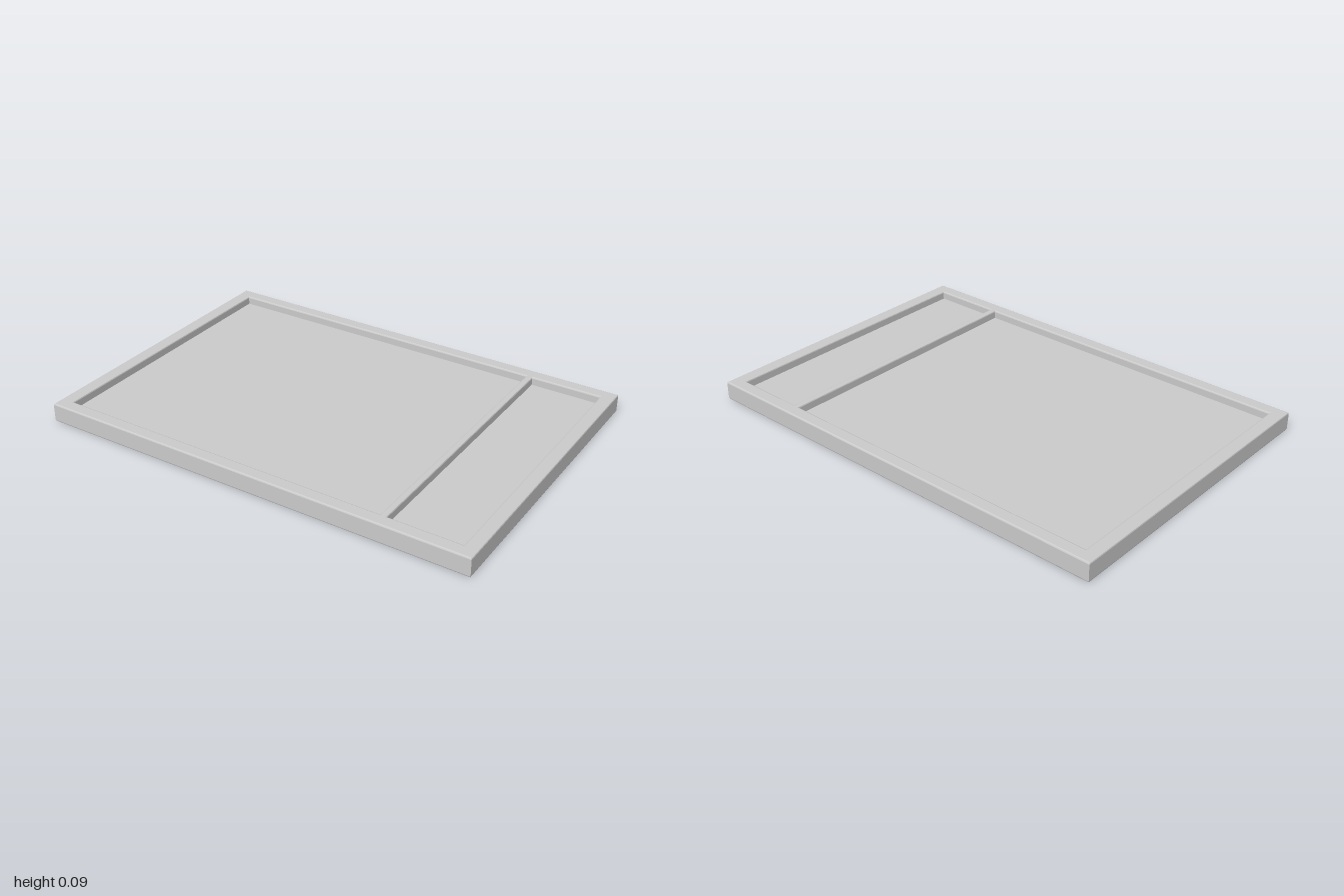
import * as THREE from 'three';

const WIDTH = 2, DEPTH = 1.38, HEIGHT = 0.085, BEVEL = 0.006;
const FLOOR = 0.048;
const POCKETS = [
  { name: 'largePocketFloor', x0: -0.945, x1: 0.597 },
  { name: 'smallPocketFloor', x0: 0.615, x1: 0.945 },
];
const POCKET_Z = 0.637;

// Rectangle outline, usable both as a shape and as a hole
function rectangle(Type, x0, x1, halfDepth) {
  const path = new Type();
  path.moveTo(x0, -halfDepth);
  path.lineTo(x1, -halfDepth);
  path.lineTo(x1, halfDepth);
  path.lineTo(x0, halfDepth);
  path.closePath();
  return path;
}

export function createModel() {
  const tray = new THREE.Group();
  tray.name = 'dividedTray';
  const material = new THREE.MeshStandardMaterial({ color: 0xcccccc });

  // Rim and divider: one softly bevelled slab with two openings
  const inset = WIDTH / 2 - BEVEL;
  const outline = rectangle(THREE.Shape, -inset, inset, DEPTH / 2 - BEVEL);
  for (const p of POCKETS) outline.holes.push(rectangle(THREE.Path, p.x0, p.x1, POCKET_Z));
  const frameGeometry = new THREE.ExtrudeGeometry(outline, {
    depth: HEIGHT - 2 * BEVEL,
    bevelEnabled: true,
    bevelSize: BEVEL,
    bevelThickness: BEVEL,
    bevelSegments: 2,
  });
  frameGeometry.rotateX(-Math.PI / 2);
  frameGeometry.translate(0, BEVEL, 0);
  const frame = new THREE.Mesh(frameGeometry, material);
  frame.name = 'rimAndDivider';
  tray.add(frame);

  // Recessed floors, flush with the underside
  for (const p of POCKETS) {
    const floor = new THREE.Mesh(new THREE.BoxGeometry(p.x1 - p.x0, FLOOR, 2 * POCKET_Z), material);
    floor.position.set((p.x0 + p.x1) / 2, FLOOR / 2, 0);
    floor.name = p.name;
    tray.add(floor);
  }
  return tray;
}
